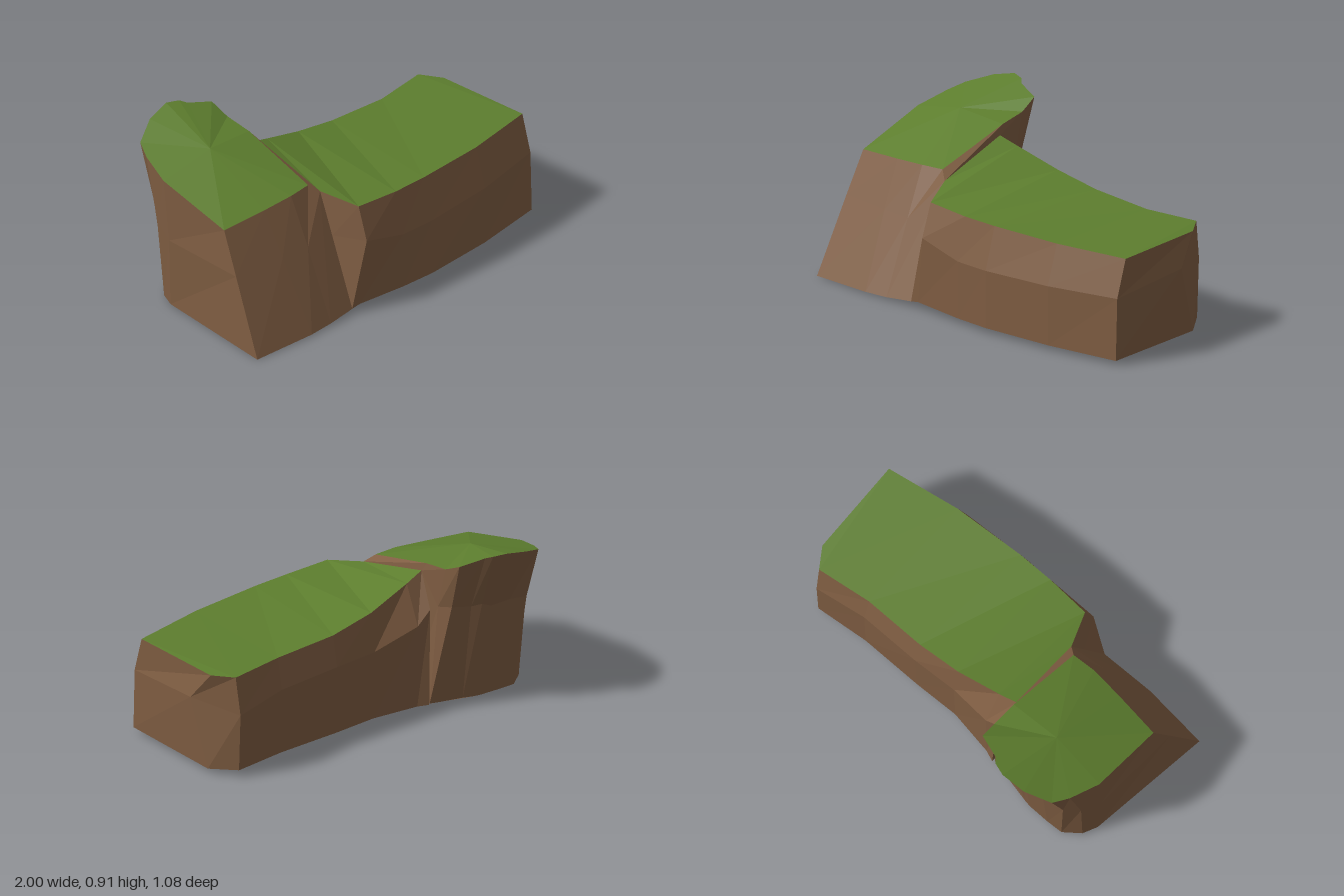
import * as THREE from 'three';

// Flat-faced mesh from a list of corner triples
function facetMesh(name, points, material) {
  const geometry = new THREE.BufferGeometry();
  geometry.setAttribute('position', new THREE.Float32BufferAttribute(points.flat(), 3));
  geometry.computeVertexNormals();
  const mesh = new THREE.Mesh(geometry, material);
  mesh.name = name;
  return mesh;
}

const quad = (a, b, c, d) => [a, b, c, a, c, d];

// Walls around a ring of [bottom, middle, top] columns, counterclockwise from above
function walls(columns) {
  const out = [];
  columns.forEach((col, i) => {
    const next = columns[(i + 1) % columns.length];
    for (let k = 0; k < 2; k++) out.push(...quad(col[k], next[k], next[k + 1], col[k + 1]));
  });
  return out;
}

// Strip joining the front half of a ring to its back half
function stripCap(ring) {
  const out = [];
  const n = ring.length;
  for (let i = 0; i < Math.floor(n / 2); i++) {
    out.push(...quad(ring[i], ring[i + 1], ring[n - 2 - i], ring[n - 1 - i]));
  }
  return out;
}

// Fan from a raised centre to every edge of a ring
function fanCap(ring, centre) {
  return ring.flatMap((p, i) => [p, ring[(i + 1) % ring.length], centre]);
}

function block(name, columns, grassPoints, soil, grass) {
  const group = new THREE.Group();
  group.name = name;
  const base = stripCap(columns.map((c) => c[0])).reverse();
  group.add(facetMesh(name + 'Soil', [...walls(columns), ...base], soil));
  group.add(facetMesh(name + 'Grass', grassPoints, grass));
  return group;
}

export function createModel() {
  const soil = new THREE.MeshStandardMaterial({ color: 0x7f5d42 });
  soil.name = 'soil brown';
  const grass = new THREE.MeshStandardMaterial({ color: 0x5d7e2e });
  grass.name = 'grass green';

  // Long ledge: front edge, far end, then back edge
  const ledge = [
    [[-0.34, 0.035, 0.51], [-0.34, 0.4, 0.36], [-0.34, 0.62, 0.27]],
    [[-0.29, 0.045, 0.512], [-0.25, 0.4, 0.52], [-0.25, 0.577, 0.46]],
    [[0, 0.035, 0.52], [0, 0.34, 0.52], [0, 0.567, 0.465]],
    [[0.2, 0.034, 0.52], [0.2, 0.34, 0.518], [0.2, 0.565, 0.455]],
    [[0.6, 0.033, 0.475], [0.6, 0.35, 0.475], [0.6, 0.562, 0.41]],
    [[1, 0.03, 0.39], [1, 0.36, 0.38], [1, 0.56, 0.32]],
    [[0.96, 0.03, -0.2], [0.99, 0.4, -0.09], [0.95, 0.56, -0.21]],
    [[0.86, 0.045, -0.33], [0.86, 0.36, -0.343], [0.87, 0.567, -0.315]],
    [[0.57, 0.04, -0.285], [0.57, 0.4, -0.295], [0.57, 0.567, -0.26]],
    [[0.22, 0.04, -0.27], [0.22, 0.42, -0.285], [0.22, 0.585, -0.25]],
    [[-0.03, 0.04, -0.25], [-0.03, 0.42, -0.26], [-0.03, 0.63, -0.23]],
    [[-0.28, 0.045, -0.28], [-0.28, 0.5, -0.285], [-0.28, 0.705, -0.19]],
    [[-0.34, 0.045, -0.3], [-0.36, 0.57, -0.28], [-0.385, 0.74, -0.17]],
  ];

  // Raised bluff: sloped front, inner side, overhanging back, outer side
  const bluff = [
    [[-1, 0.005, 0.52], [-0.975, 0.4, 0.335], [-0.96, 0.62, 0.23]],
    [[-0.64, 0.015, 0.535], [-0.68, 0.4, 0.36], [-0.7, 0.64, 0.245]],
    [[-0.5, 0.02, 0.525], [-0.51, 0.4, 0.365], [-0.52, 0.655, 0.25]],
    [[-0.34, 0.035, 0.51], [-0.34, 0.62, 0.27], [-0.39, 0.66, 0.235]],
    [[-0.34, 0.04, -0.15], [-0.385, 0.74, -0.17], [-0.395, 0.79, -0.2]],
    [[-0.35, 0.045, -0.29], [-0.4, 0.58, -0.29], [-0.405, 0.815, -0.35]],
    [[-0.42, 0.04, -0.3], [-0.43, 0.6, -0.37], [-0.42, 0.865, -0.45]],
    [[-0.54, 0.03, -0.31], [-0.55, 0.57, -0.37], [-0.55, 0.892, -0.49]],
    [[-0.6, 0.03, -0.33], [-0.6, 0.58, -0.395], [-0.58, 0.905, -0.52]],
    [[-0.64, 0.03, -0.335], [-0.66, 0.55, -0.39], [-0.65, 0.91, -0.54]],
    [[-0.76, 0.025, -0.33], [-0.78, 0.55, -0.385], [-0.78, 0.875, -0.52]],
    [[-0.85, 0.02, -0.32], [-0.9, 0.52, -0.36], [-0.91, 0.82, -0.45]],
    [[-0.93, 0.02, -0.25], [-0.95, 0.45, -0.28], [-0.95, 0.79, -0.36]],
    [[-0.96, 0.015, -0.17], [-0.98, 0.4, -0.16], [-0.99, 0.74, -0.19]],
  ];

  const model = new THREE.Group();
  model.name = 'grassyCliff';
  model.add(block('ledge', ledge, stripCap(ledge.map((c) => c[2])), soil, grass));
  model.add(block('bluff', bluff, fanCap(bluff.map((c) => c[2]), [-0.68, 0.81, -0.18]), soil, grass));
  return model;
}
